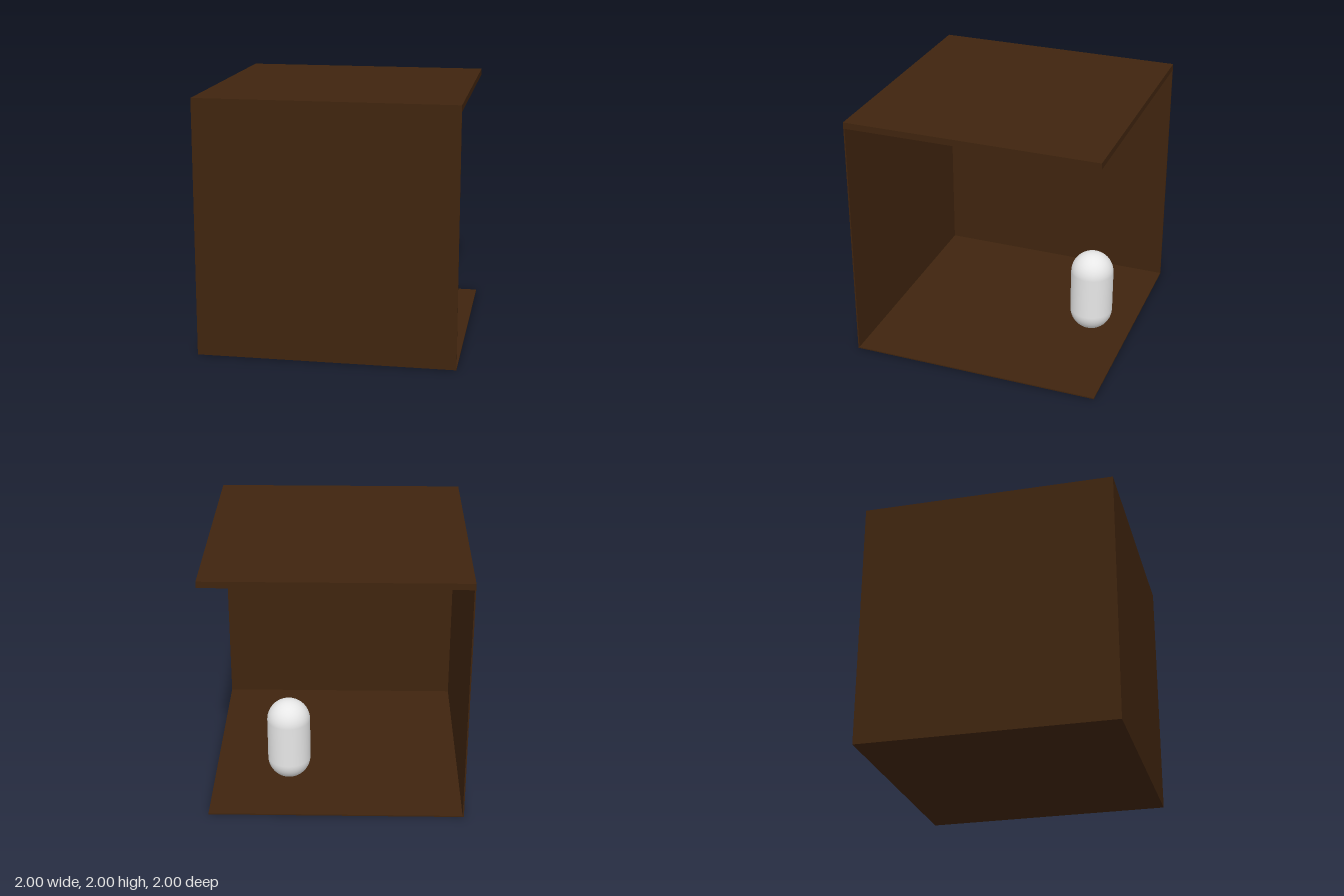
import * as THREE from 'three';

export function createModel() {
  const model = new THREE.Group();
  const brown = new THREE.MeshStandardMaterial({ name: 'dark brown', color: 0x3f240e });
  const white = new THREE.MeshStandardMaterial({ name: 'off white', color: 0xe7e7e7 });

  const FLOOR = 0.01, ROOF = 0.05, WALL = 0.01;
  const wallHeight = 2 - FLOOR - ROOF;
  const wallY = FLOOR + wallHeight / 2;

  function panel(name, w, h, d, x, y, z) {
    const mesh = new THREE.Mesh(new THREE.BoxGeometry(w, h, d), brown);
    mesh.name = name;
    mesh.position.set(x, y, z);
    model.add(mesh);
  }

  // Room shell: floor, roof and two walls; the +x and back sides stay open
  panel('floor', 2, FLOOR, 2, 0, FLOOR / 2, 0);
  panel('roof', 2, ROOF, 2, 0, 2 - ROOF / 2, 0);
  panel('frontWall', 2, wallHeight, WALL, 0, wallY, 1 - WALL / 2);
  panel('sideWall', WALL, wallHeight, 2 - WALL, -1 + WALL / 2, wallY, -WALL / 2);

  // Capsule floating near the open back corner
  const radius = 0.166;
  const capsule = new THREE.Mesh(new THREE.CapsuleGeometry(radius, 0.332, 12, 40), white);
  capsule.name = 'capsule';
  capsule.position.set(0.37, 0.572, -0.77);
  model.add(capsule);

  return model;
}
